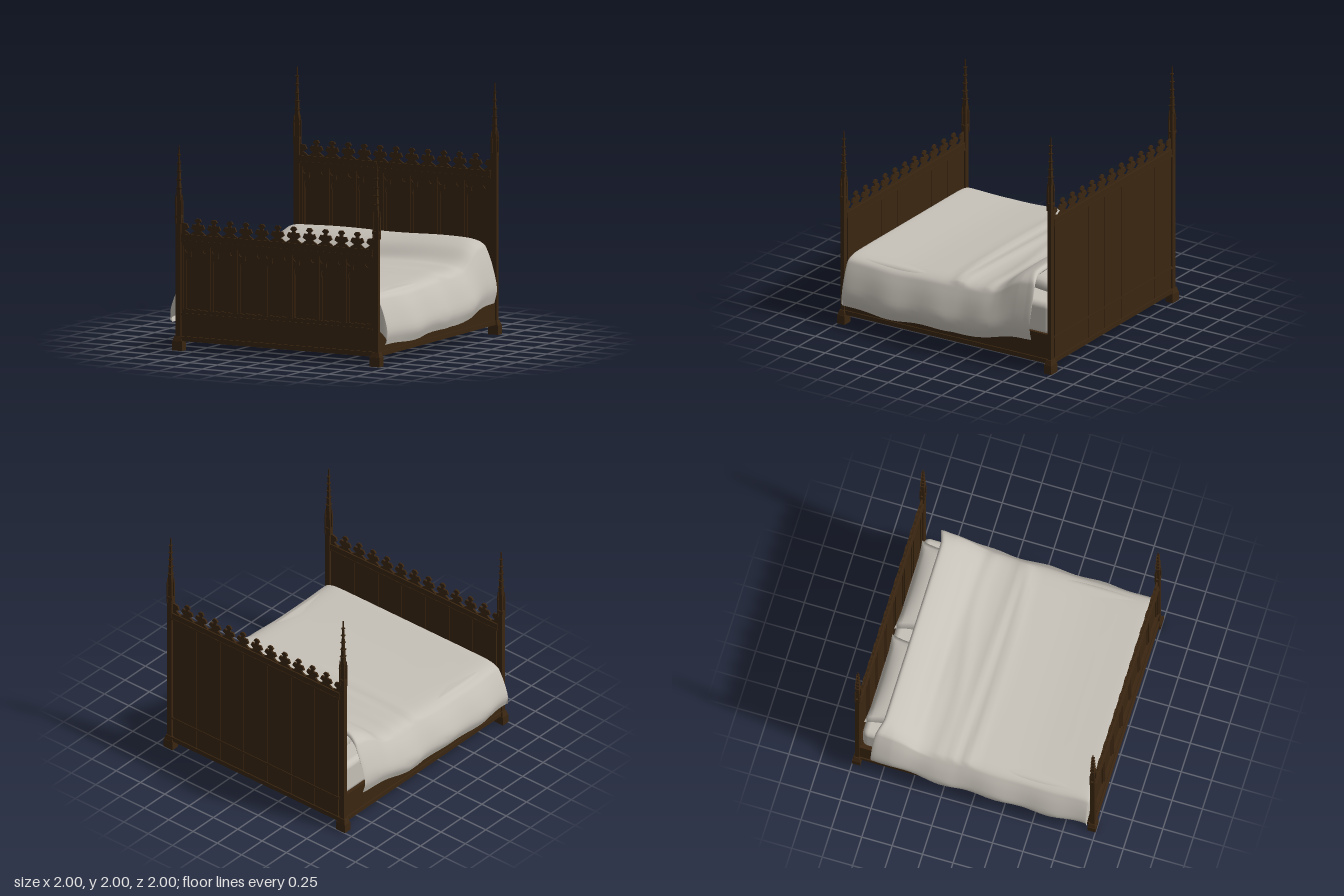
import * as THREE from 'three';
import { mergeVertices } from 'three/addons/utils/BufferGeometryUtils.js';
import { RoundedBoxGeometry } from 'three/addons/geometries/RoundedBoxGeometry.js';

const PANELS = 7, PITCH = 0.243, HALF = 0.86, POST_X = 0.887, END_Z = 0.967;

export function createModel() {
  const wood = new THREE.MeshStandardMaterial({ name: 'dark oak', color: 0x3b2611 });
  const linen = new THREE.MeshStandardMaterial({ name: 'linen', color: 0xc6c1b8, side: THREE.DoubleSide });
  const bed = new THREE.Group();
  bed.name = 'canopylessBed';

  const add = (parent, name, geo, mat, x = 0, y = 0, z = 0) => {
    const m = new THREE.Mesh(geo, mat);
    m.name = name;
    m.position.set(x, y, z);
    parent.add(m);
    return m;
  };
  // box given by its bottom and top heights
  const slab = (parent, name, w, y0, y1, d, x = 0, z = 0) =>
    add(parent, name, new THREE.BoxGeometry(w, y1 - y0, d), wood, x, (y0 + y1) / 2, z);
  // square tapered prism with flat faces, aligned with the axes
  const taper = (parent, name, rTop, rBottom, y0, y1, x = 0, z = 0) => {
    let g = new THREE.CylinderGeometry(rTop * Math.SQRT2, rBottom * Math.SQRT2, y1 - y0, 4);
    g = g.rotateY(Math.PI / 4).toNonIndexed();
    g.computeVertexNormals();
    return add(parent, name, g, wood, x, (y0 + y1) / 2, z);
  };
  const rectShape = (x0, y0, x1, y1, Type = THREE.Shape) =>
    new Type([[x0, y0], [x1, y0], [x1, y1], [x0, y1]].map(p => new THREE.Vector2(...p)));
  const extrude = (shape, depth) =>
    new THREE.ExtrudeGeometry(shape, { depth, bevelEnabled: false, curveSegments: 8 });

  // trefoil-headed opening
  const archHole = (cx, y0, y1) => {
    const p = new THREE.Path(), w = 0.088;
    p.moveTo(cx - w, y0);
    p.lineTo(cx + w, y0);
    p.lineTo(cx + w, y1 - 0.15);
    p.quadraticCurveTo(cx + w + 0.012, y1 - 0.075, cx + 0.045, y1 - 0.075);
    p.quadraticCurveTo(cx + 0.06, y1 - 0.02, cx, y1);
    p.quadraticCurveTo(cx - 0.06, y1 - 0.02, cx - 0.045, y1 - 0.075);
    p.quadraticCurveTo(cx - w - 0.012, y1 - 0.075, cx - w, y1 - 0.15);
    p.closePath();
    return p;
  };

  // row of leaf finials, with half leaves against the posts
  const crestGeometry = () => {
    const half = [[0.0715, 0], [0.028, 0.03], [0.06, 0.05], [0.045, 0.082], [0.016, 0.078],
      [0.012, 0.094], [0.03, 0.108], [0.014, 0.128]];
    const leaf = [...half.map(([u, v]) => [-u, v]), ...half.slice().reverse()];
    const s = new THREE.Shape();
    s.moveTo(-HALF, -0.02);
    s.lineTo(-HALF, 0.09);
    half.slice(0, 4).reverse().forEach(([u, v]) => s.lineTo(-0.858 + u, v));
    for (let i = -5; i <= 5; i++) leaf.forEach(([u, v]) => s.lineTo(i * 0.143 + u, v));
    half.slice(0, 4).forEach(([u, v]) => s.lineTo(0.858 - u, v));
    s.lineTo(HALF, 0.09);
    s.lineTo(HALF, -0.02);
    s.closePath();
    return extrude(s, 0.014);
  };

  // post with foot, clustered pinnacles and a crocketed spire
  const makePost = (name, b) => {
    const g = new THREE.Group();
    g.name = name;
    slab(g, 'foot', 0.09, 0, 0.075, 0.066);
    const cap = taper(g, 'footCap', 0.03, 0.042, 0.075, 0.115);
    cap.scale.z = 0.75;
    slab(g, 'shaft', 0.046, 0.08, b, 0.034);
    slab(g, 'shaftCollar', 0.056, b - 0.015, b + 0.005, 0.042);
    slab(g, 'spireBase', 0.032, b, b + 0.15, 0.026);
    for (const sx of [-1, 1]) for (const sz of [-1, 1]) {
      slab(g, 'buttress', 0.012, b - 0.06, b + 0.1, 0.01, sx * 0.021, sz * 0.015);
      taper(g, 'pinnacle', 0.001, 0.007, b + 0.1, b + 0.18, sx * 0.021, sz * 0.015);
    }
    taper(g, 'spire', 0.003, 0.016, b + 0.15, b + 0.56);
    for (let i = 0; i < 5; i++) {
      const y = b + 0.21 + i * 0.067, r = 0.021 - i * 0.002;
      taper(g, 'crocket', r, r * 0.55, y, y + 0.014);
    }
    return g;
  };

  // panelled end board; carved side faces +z
  const makeBoard = (name, top) => {
    const g = new THREE.Group();
    g.name = name;
    const y0 = 0.33, y1 = top - 0.09;
    const frame = rectShape(-HALF, 0.29, HALF, top - 0.05);
    const tracery = rectShape(-HALF, 0.3, HALF, top - 0.06);
    for (let i = 0; i < PANELS; i++) {
      const cx = (i - 3) * PITCH;
      slab(g, 'plank', PITCH - 0.005, 0.1, top - 0.02, 0.012, cx, -0.009);
      frame.holes.push(rectShape(cx - 0.11, y0, cx + 0.11, y1, THREE.Path));
      tracery.holes.push(archHole(cx, y0 + 0.005, y1 - 0.012));
      for (const s of [-1, 1]) {
        const eye = new THREE.Path();
        eye.absarc(cx + s * 0.08, y1 - 0.036, 0.02, 0, Math.PI * 2);
        tracery.holes.push(eye);
      }
    }
    add(g, 'panelFrame', extrude(frame, 0.016), wood, 0, 0, -0.003);
    add(g, 'tracery', extrude(tracery, 0.009), wood, 0, 0, -0.003);
    slab(g, 'lowerBoard', 2 * HALF, 0.1, 0.3, 0.012, 0, 0.003);
    slab(g, 'baseMoulding', 2 * HALF, 0.078, 0.116, 0.046);
    slab(g, 'midMoulding', 2 * HALF, 0.285, 0.302, 0.04);
    slab(g, 'cornice', 2 * HALF, top - 0.05, top, 0.034);
    slab(g, 'corniceLip', 2 * HALF, top - 0.062, top - 0.048, 0.04);
    add(g, 'crest', crestGeometry(), wood, 0, top, -0.007);
    for (const s of [-1, 1]) {
      const post = makePost(s > 0 ? 'leftPost' : 'rightPost', top + 0.14);
      post.position.x = s * POST_X;
      g.add(post);
    }
    return g;
  };
  const head = makeBoard('headboard', 1.3), foot = makeBoard('footboard', 0.93);
  head.position.z = -END_Z;
  foot.position.z = END_Z;
  bed.add(head, foot);

  // side rails and base
  for (const s of [-1, 1]) {
    slab(bed, 'sideRail', 0.026, 0.08, 0.32, 1.9, s * 0.885);
    slab(bed, 'railMoulding', 0.042, 0.078, 0.114, 1.9, s * 0.887);
  }
  slab(bed, 'bedBase', 1.75, 0.085, 0.11, 1.92);

  add(bed, 'mattress', new RoundedBoxGeometry(1.73, 0.28, 1.87, 4, 0.05), linen, 0, 0.425, -0.008);

  // pillows: pinched corners, domed top and bottom
  for (const s of [-1, 1]) {
    let geo = new THREE.BoxGeometry(2, 2, 2, 20, 1, 14);
    geo.deleteAttribute('normal');
    geo.deleteAttribute('uv');
    const p = geo.attributes.position;
    for (let i = 0; i < p.count; i++) {
      const u = p.getX(i), v = p.getZ(i);
      const dome = Math.sqrt(Math.max(0, (1 - u * u) * (1 - v * v)));
      p.setXYZ(i, u * 0.385 * (1 - 0.08 * (1 - v * v)), p.getY(i) * 0.1 * dome,
        v * 0.19 * (1 - 0.12 * (1 - u * u)));
    }
    geo = mergeVertices(geo);
    geo.computeVertexNormals();
    add(bed, 'pillow', geo, linen, s * 0.41, 0.655, -0.755).rotation.x = -0.1;
  }

  // duvet: cross-sections run from the pillows to the foot
  const spine = new THREE.SplineCurve([[-0.765, 0.74], [-0.785, 0.765], [-0.75, 0.788], [-0.62, 0.735],
    [-0.5, 0.645], [-0.4, 0.605], [-0.2, 0.592], [0, 0.588], [0.4, 0.568], [0.7, 0.572], [0.9, 0.578],
    [0.935, 0.565]].map(p => new THREE.Vector2(...p))).getPoints(66);
  spine.push(new THREE.Vector2(0.94, 0.3));
  const side = new THREE.CatmullRomCurve3([[0, 1], [0.3, 1], [0.6, 1], [0.8, 0.985], [0.875, 0.92],
    [0.91, 0.8], [0.96, 0.52], [0.99, 0.22], [0.965, 0]].map(([x, f]) => new THREE.Vector3(x, f, 0)))
    .getPoints(28);
  const section = [...side.slice(1).reverse().map(p => [-p.x, p.y]), ...side.map(p => [p.x, p.y])];
  const bump = (d, w) => Math.exp(-d * d / (w * w));
  const verts = [], index = [], cols = section.length;
  spine.forEach(({ x: z, y: h }, i) => {
    section.forEach(([x, f], j) => {
      const a = Math.abs(x), flap = Math.max(0, a - 0.87);
      let hem = 0.165 + 0.035 * Math.max(0, 0.4 - z) + 0.07 * THREE.MathUtils.smoothstep(-z, 0.3, 0.8);
      hem += (x < 0 ? 0.045 : 0) + 0.008 * Math.sin(z * 9);
      let y = hem + f * (h - hem);
      // folds across the top and soft ripples down the sides
      const onTop = f > 0.9 ? 1 : 0.2;
      y += onTop * (0.016 * bump(z + 0.03 + 0.06 * x * x, 0.035) + 0.014 * bump(z + 0.17 - 0.04 * x, 0.04)
        + 0.012 * bump(z + 0.34 + 0.05 * Math.sin(3 * x), 0.05) - 0.022 * bump(z + 0.5, 0.05) * bump(x + 0.2, 0.6)
        + 0.006 * Math.sin(x * 7 + z * 3) * bump(z + 0.6, 0.25));
      const bulge = (x > 0 ? 1.04 - 0.4 * z ** 4 : 1.06 - 0.12 * z ** 4) + 0.08 * Math.sin(z * 14 + x);
      const px = Math.sign(x) * Math.min(1, a - flap + flap * bulge);
      const back = z < -0.7 ? -0.045 * THREE.MathUtils.smoothstep(a, 0.75, 0.95) : 0;
      verts.push(px, y, z + back);
      if (i && j) {
        const d = i * cols + j, b = d - cols;
        index.push(b - 1, d - 1, b, b, d - 1, d);
      }
    });
  });
  const duvet = new THREE.BufferGeometry();
  duvet.setAttribute('position', new THREE.Float32BufferAttribute(verts, 3));
  duvet.setIndex(index);
  duvet.computeVertexNormals();
  add(bed, 'duvet', duvet, linen);

  return bed;
}
